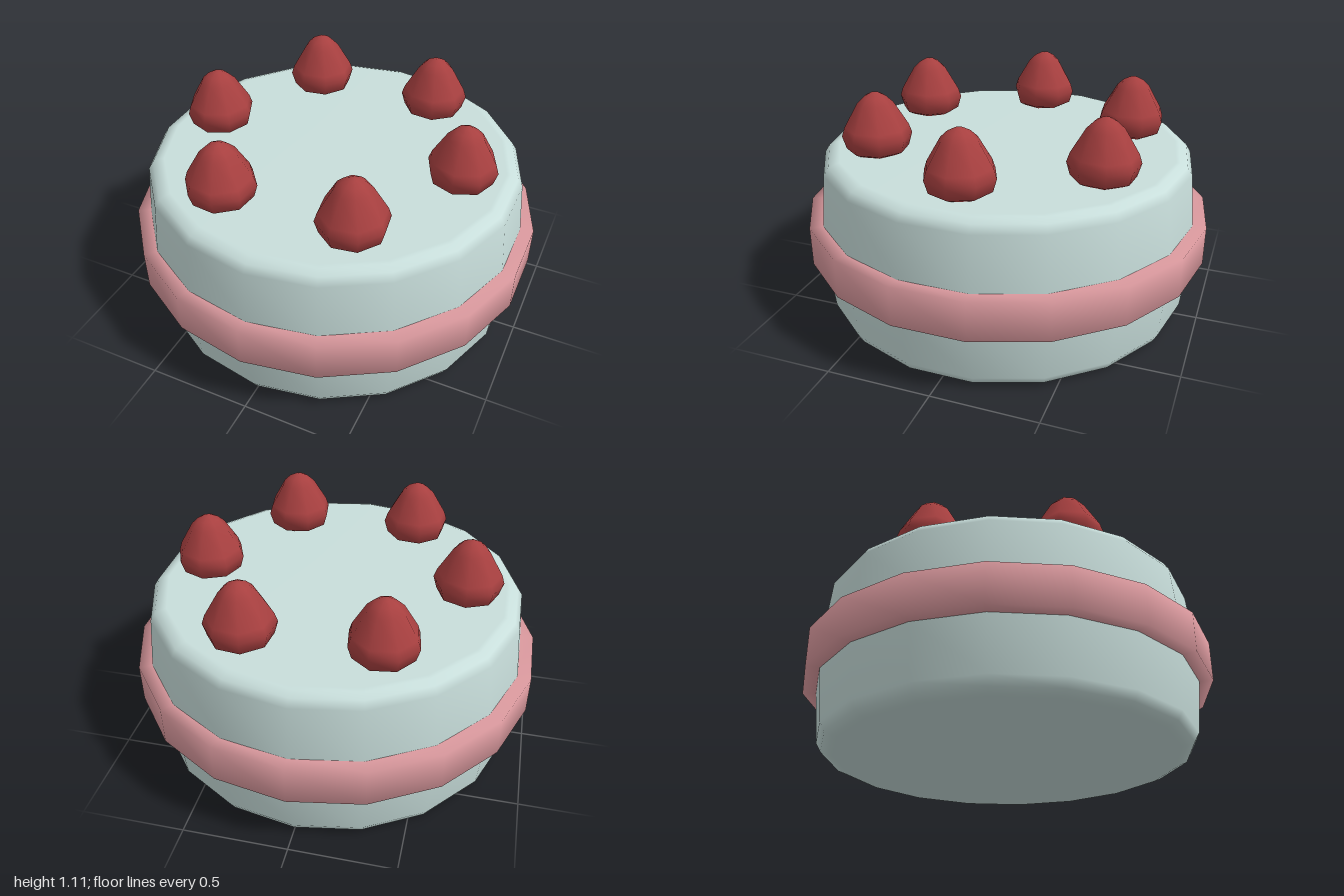
import * as THREE from 'three';

const material = (name, color) => {
  const m = new THREE.MeshStandardMaterial({ color });
  m.name = name;
  return m;
};

// Smooth turned shape from [radius, height] pairs, listed bottom to top
function turned(name, profile, sides, mat) {
  const points = profile.map(([r, y]) => new THREE.Vector2(r, y));
  const mesh = new THREE.Mesh(new THREE.LatheGeometry(points, sides), mat);
  mesh.name = name;
  return mesh;
}

export function createModel() {
  const group = new THREE.Group();
  group.name = 'cake';
  const icing = material('pale icing', 0xc8dedb);
  const pink = material('pink cream', 0xdd9ba0);
  const red = material('strawberry red', 0xa84040);

  // Sponge with bevelled rims and slightly bulging sides
  group.add(turned('cakeBody', [
    [0, 0], [0.83, 0], [0.85, 0.003], [0.886, 0.018], [0.91, 0.06], [0.935, 0.31],
    [0.935, 0.505], [0.91, 0.76], [0.886, 0.797], [0.85, 0.812], [0.83, 0.815], [0, 0.815],
  ], 18, icing));

  // Cream band around the middle
  group.add(turned('creamBand', [
    [0.92, 0.312], [1, 0.312], [1, 0.503], [0.92, 0.503],
  ], 18, pink));

  // Ring of six strawberries
  const berryProfile = [
    [0, 0], [0.11, 0], [0.148, 0.02], [0.166, 0.082], [0.152, 0.125],
    [0.085, 0.24], [0.052, 0.272], [0.02, 0.289], [0, 0.291],
  ];
  for (let i = 0; i < 6; i++) {
    const angle = (i * Math.PI) / 3 - 0.022;
    const berry = turned('strawberry' + (i + 1), berryProfile, 8, red);
    berry.position.set(0.636 * Math.cos(angle), 0.815, 0.636 * Math.sin(angle));
    berry.rotation.y = -angle;
    group.add(berry);
  }
  return group;
}
